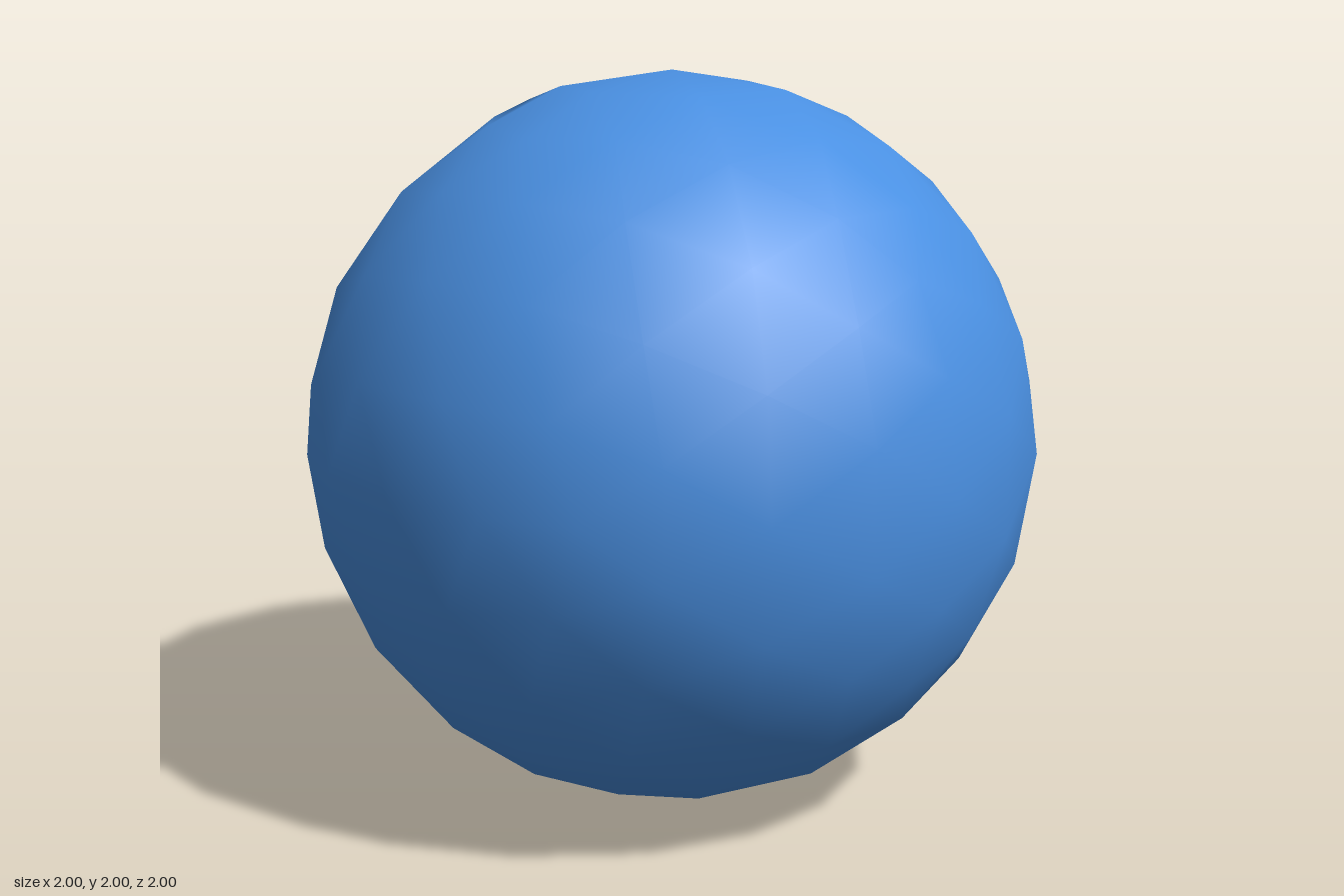
import * as THREE from 'three';
import { mergeVertices } from 'three/addons/utils/BufferGeometryUtils.js';
import { ConvexGeometry } from 'three/addons/geometries/ConvexGeometry.js';

const SIDES = 8;
const DEPTH = 0.17;

// Finger holes: direction from the ball's centre and radius
const HOLES = [
  { axis: [-0.19, 0.81, -0.56], radius: 0.145 },
  { axis: [-0.81, 0.515, -0.28], radius: 0.145 },
  { axis: [-0.49, 0.865, 0.12], radius: 0.135 },
];

// Octagonal rim on the unit sphere, counter-clockwise seen from outside
function makeHole({ axis, radius }) {
  const a = new THREE.Vector3(...axis).normalize();
  const u = new THREE.Vector3(1, 0, 0).addScaledVector(a, -a.x).normalize();
  const v = new THREE.Vector3().crossVectors(a, u);
  const height = Math.sqrt(1 - radius * radius);
  const rim = [];
  for (let i = 0; i < SIDES; i++) {
    const t = ((i + 0.5) / SIDES) * Math.PI * 2;
    rim.push(a.clone().multiplyScalar(height)
      .addScaledVector(u, radius * Math.cos(t))
      .addScaledVector(v, radius * Math.sin(t)));
  }
  return { a, height, rim };
}

export function createModel() {
  const group = new THREE.Group();
  const holes = HOLES.map(makeHole);

  // Evenly spread sphere points, cleared around the holes
  const ico = new THREE.IcosahedronGeometry(1, 3);
  ico.rotateX(Math.PI / 2);
  ico.deleteAttribute('normal');
  ico.deleteAttribute('uv');
  const base = mergeVertices(ico, 1e-3).getAttribute('position');
  const points = holes.flatMap((h) => h.rim);
  for (let i = 0; i < base.count; i++) {
    const p = new THREE.Vector3().fromBufferAttribute(base, i);
    if (holes.every((h) => p.dot(h.a) < Math.cos(0.2))) points.push(p);
  }

  // Shell: hull of the points, leaving out the caps over the holes
  const hull = new ConvexGeometry(points).getAttribute('position');
  const positions = [];
  const addFace = (...corners) => corners.forEach((p) => positions.push(p.x, p.y, p.z));
  for (let i = 0; i < hull.count; i += 3) {
    const tri = [0, 1, 2].map((k) => new THREE.Vector3().fromBufferAttribute(hull, i + k));
    const isCap = holes.some((h) => tri.every((p) => p.dot(h.a) > h.height - 1e-3));
    if (!isCap) addFace(...tri);
  }

  // Hole walls and floors
  for (const { a, height, rim } of holes) {
    const floor = rim.map((p) => p.clone().addScaledVector(a, -DEPTH));
    const centre = a.clone().multiplyScalar(height - DEPTH);
    for (let i = 0; i < SIDES; i++) {
      const j = (i + 1) % SIDES;
      addFace(rim[i], rim[j], floor[j]);
      addFace(rim[i], floor[j], floor[i]);
      addFace(centre, floor[i], floor[j]);
    }
  }

  // Weld so the shading runs smoothly over the rims
  let geometry = new THREE.BufferGeometry();
  geometry.setAttribute('position', new THREE.Float32BufferAttribute(positions, 3));
  geometry = mergeVertices(geometry, 1e-4);
  geometry.computeVertexNormals();

  const ball = new THREE.Mesh(geometry, new THREE.MeshStandardMaterial({ color: 0x4a90e2 }));
  ball.name = 'ballWithFingerHoles';
  ball.position.y = 1;
  group.add(ball);
  return group;
}
